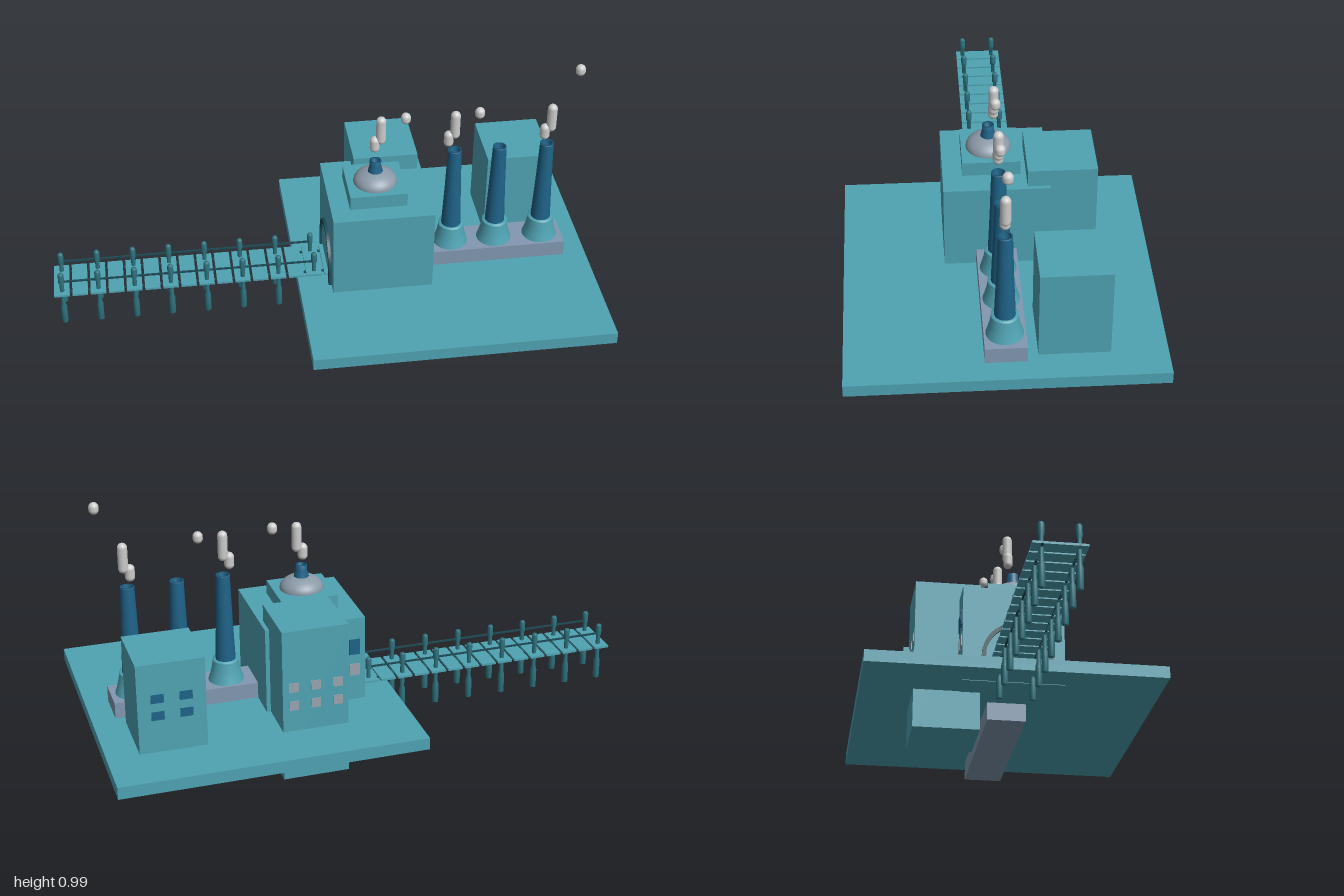
import * as THREE from 'three';

const mat = (color, double = false) =>
  new THREE.MeshStandardMaterial({ color, side: double ? THREE.DoubleSide : THREE.FrontSide });
const teal = mat(0x4fa3b3), tealOpen = mat(0x4fa3b3, true), blue = mat(0x1f6388), blueOpen = mat(0x1f6388, true);
const stone = mat(0x8299b0), post = mat(0x2f7480), rail = mat(0x1d4a55), grey = mat(0xcccccc), pane = mat(0x9aa4ae);

function add(parent, name, geometry, material, x = 0, y = 0, z = 0) {
  const mesh = new THREE.Mesh(geometry, material);
  mesh.name = name;
  mesh.position.set(x, y, z);
  parent.add(mesh);
  return mesh;
}

// Box given by its minimum and maximum on each axis
function block(parent, name, material, x0, x1, y0, y1, z0, z1) {
  return add(parent, name, new THREE.BoxGeometry(x1 - x0, y1 - y0, z1 - z0), material,
    (x0 + x1) / 2, (y0 + y1) / 2, (z0 + z1) / 2);
}

function lathe(points, segments = 28) {
  return new THREE.LatheGeometry(points.map(([r, y]) => new THREE.Vector2(r, y)), segments);
}

function group(parent, name) {
  const g = new THREE.Group();
  g.name = name;
  parent.add(g);
  return g;
}

// Thin window panes on a wall that faces the back
function windows(parent, xs, ys, z, w, h, material) {
  for (const x of xs) for (const y of ys)
    add(parent, 'window', new THREE.BoxGeometry(w, h, 0.004), material, x, y, z);
}

// Smokestack: flared foot and open tapering shaft
function stack(parent, x) {
  const g = group(parent, 'smokestack');
  g.position.set(x, 0.25, 0);
  add(g, 'stackFoot', lathe([[0.065, 0], [0.058, 0.022], [0.052, 0.045], [0.047, 0.074]]), tealOpen);
  add(g, 'stackFootRim', lathe([[0.047, 0.074], [0.047, 0.083], [0.036, 0.083]]), tealOpen);
  add(g, 'stackShaft', lathe([[0.037, 0.07], [0.03, 0.24], [0.025, 0.41]]), blueOpen);
  add(g, 'stackLip', lathe([[0.025, 0.408], [0.025, 0.412], [0.018, 0.412], [0.018, 0.36], [0, 0.36]]), blueOpen);
}

// Puffs: short capsule, tall capsule and a drifting ball
function smoke(parent, x, ballX, ballY) {
  const g = group(parent, 'smoke');
  add(g, 'smallPuff', new THREE.CapsuleGeometry(0.018, 0.028, 6, 16), grey, x, 0.713, 0);
  add(g, 'tallPuff', new THREE.CapsuleGeometry(0.018, 0.078, 6, 16), grey, x + 0.022, 0.771, 0);
  add(g, 'ballPuff', new THREE.CapsuleGeometry(0.018, 0.008, 6, 16), grey, ballX, ballY, 0);
}

function bridge(parent) {
  const g = group(parent, 'bridge');
  const step = 0.1335;
  // Deck planks
  for (let i = 0; i < 15; i++) {
    const x = -1 + i * step / 2;
    block(g, 'plank', teal, x, x + 0.057, 0.193, 0.201, -0.095, 0.083);
  }
  block(g, 'endPlank', teal, 0.001, 0.02, 0.193, 0.201, -0.095, 0.083);
  // Posts, handrails and deck beams along both sides
  const postShape = lathe([[0, 0.058], [0.012, 0.058], [0.012, 0.13], [0.008, 0.145], [0.008, 0.235],
    [0.011, 0.24], [0.011, 0.275], [0.007, 0.282], [0, 0.282]], 12);
  for (const z of [-0.063, 0.057]) {
    for (let i = 0; i < 8; i++) add(g, 'post', postShape, post, -0.97 + i * step, 0, z);
    block(g, 'handrail', rail, -0.97, -0.035, 0.241, 0.247, z - 0.003, z + 0.003);
    block(g, 'deckBeam', rail, -1, 0.02, 0.193, 0.198, z - 0.004, z + 0.004);
  }
}

// Arched opening facing the bridge
function gate(parent) {
  const g = group(parent, 'archedGate');
  const arch = (r, base) => {
    const s = new THREE.Shape();
    s.moveTo(r, base);
    s.lineTo(r, 0.055);
    s.absarc(0, 0.055, r, 0, Math.PI, false);
    s.lineTo(-r, base);
    s.closePath();
    return s;
  };
  const frame = arch(0.13, 0);
  frame.holes.push(arch(0.115, 0.001));
  const place = (name, shape, depth, material) => {
    const m = add(g, name, new THREE.ExtrudeGeometry(shape, { depth, bevelEnabled: false, curveSegments: 20 }),
      material, 0.021, 0.188, 0.01);
    m.rotation.y = -Math.PI / 2;
  };
  place('gateFrame', frame, 0.012, rail);
  place('gateDoor', arch(0.116, 0), 0.004, teal);
}

export function createModel() {
  const model = new THREE.Group();
  model.name = 'factory';

  // Platform and buildings
  block(model, 'platform', teal, -0.1, 1, 0.145, 0.19, -0.55, 0.545);
  block(model, 'mainBuilding', teal, 0.02, 0.39, 0.143, 0.512, -0.19, 0.185);
  block(model, 'roofBlock', teal, 0.09, 0.3, 0.512, 0.565, -0.09, 0.115);
  block(model, 'tallRearBuilding', teal, 0.135, 0.375, 0, 0.576, -0.355, -0.11);
  block(model, 'lowRearBuilding', teal, 0.645, 0.885, 0.15, 0.526, -0.355, -0.11);
  block(model, 'stackPlinth', stone, 0.225, 0.915, 0.075, 0.25, -0.072, 0.072);

  // Windows on the back walls
  windows(model, [0.715, 0.815], [0.33, 0.395], -0.356, 0.045, 0.032, blue);
  windows(model, [0.175, 0.255, 0.335], [0.29, 0.36], -0.356, 0.035, 0.035, pane);
  windows(model, [0.06, 0.11], [0.4], -0.191, 0.04, 0.06, blue);
  windows(model, [0.06, 0.11], [0.31], -0.191, 0.04, 0.045, pane);
  windows(model, [0.11], [0.24], -0.191, 0.04, 0.06, blue);

  // Dome with a short vent
  const dome = add(model, 'dome', new THREE.SphereGeometry(0.08, 28, 12, 0, Math.PI * 2, 0, Math.PI / 2),
    mat(0x8c9aa8), 0.195, 0.565, 0.018);
  dome.scale.y = 0.6;
  add(model, 'domeVent', lathe([[0.03, 0.6], [0.021, 0.635], [0.021, 0.655], [0.014, 0.655], [0.014, 0.63], [0, 0.63]]),
    blueOpen, 0.195, 0, 0.018);

  for (const x of [0.49, 0.657, 0.833]) stack(model, x);
  smoke(model, 0.194, 0.305, 0.815);
  smoke(model, 0.465, 0.575, 0.815);
  smoke(model, 0.821, 0.932, 0.967);
  bridge(model);
  gate(model);
  return model;
}
